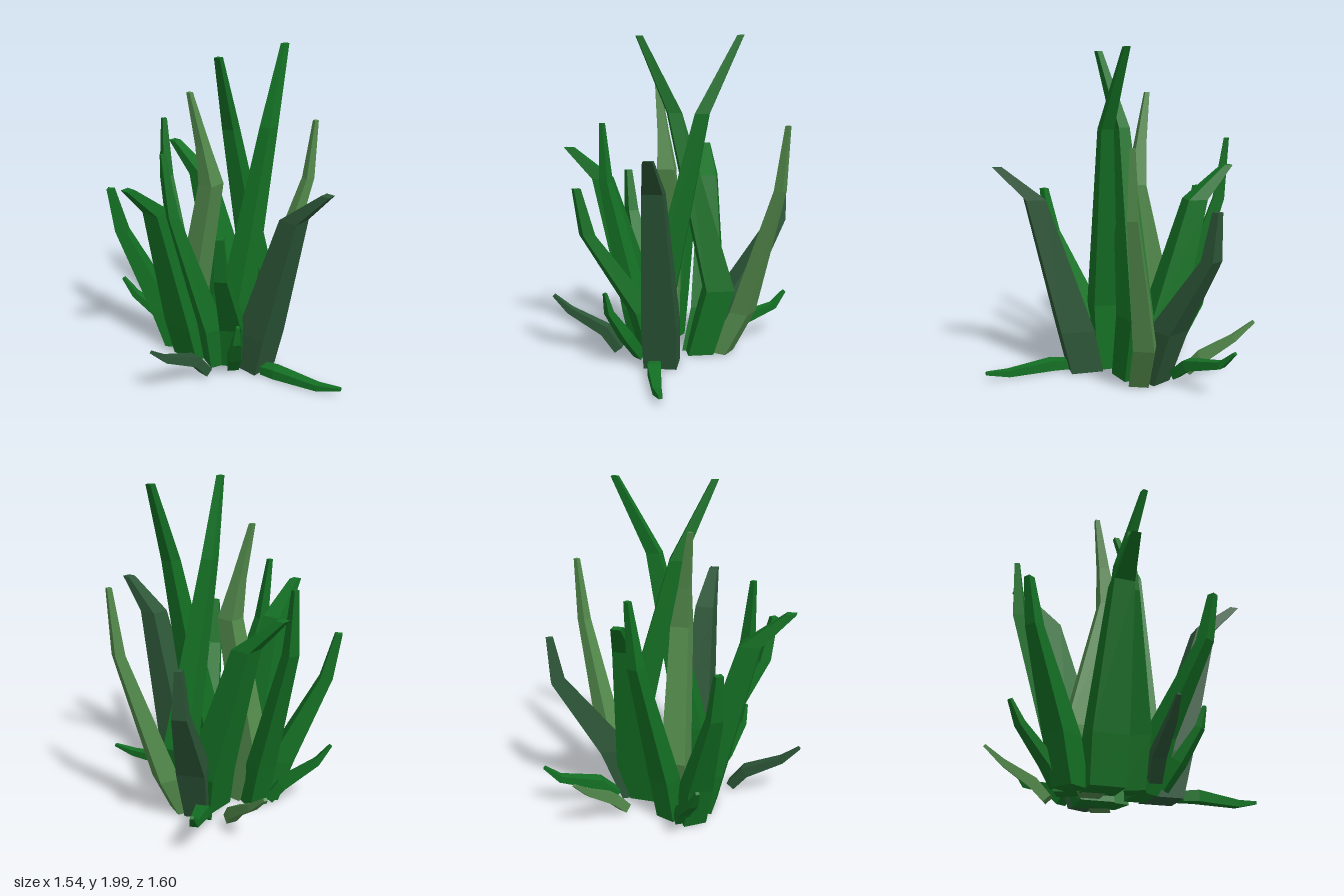
import * as THREE from 'three';

const material = (color) => new THREE.MeshStandardMaterial({ color, flatShading: true });

// A four-sided leaf swept through sections [x, y, z, thickness].
// Upright leaves keep level sections; low leaves turn theirs to follow the bend.
function makeLeaf(name, mat, sections, { ratio = 1, low = false, facing = null } = {}) {
  const n = sections.length;
  const pts = sections.map(([x, y, z]) => new THREE.Vector3(x, y, z));
  const up = new THREE.Vector3(0, 1, 0);
  const heading = facing ?? pts[n - 1].clone().sub(pts[0]).setY(0).normalize();
  const side = new THREE.Vector3().crossVectors(up, heading);
  const geo = new THREE.BoxGeometry(1, 1, 1, 1, n - 1, 1);
  const pos = geo.attributes.position;
  for (let i = 0; i < pos.count; i++) {
    const k = Math.round((pos.getY(i) + 0.5) * (n - 1));
    const w = sections[k][3];
    let across = heading;
    if (low) {
      const tangent = pts[Math.min(k + 1, n - 1)].clone().sub(pts[Math.max(k - 1, 0)]).normalize();
      across = new THREE.Vector3().crossVectors(side, tangent);
    }
    const p = pts[k].clone()
      .addScaledVector(side, pos.getX(i) * w)
      .addScaledVector(across, pos.getZ(i) * w * ratio);
    pos.setXYZ(i, p.x, Math.max(p.y, 0), p.z);
  }
  geo.computeVertexNormals();
  const mesh = new THREE.Mesh(geo, mat);
  mesh.name = name;
  return mesh;
}

export function createModel() {
  const group = new THREE.Group();
  group.name = 'grassClump';
  const green = material(0x147024);
  const slate = material(0x2c5637);
  const light = material(0x538a4c);
  const add = (...args) => group.add(makeLeaf(...args));

  // Two tallest leaves, crossing in the middle
  add('tallLeafRight', green,
    [[0.17, 0.01, -0.05, 0.14], [0.29, 0.43, -0.045, 0.155], [0.01, 1.54, -0.06, 0.075], [-0.2, 2, 0.01, 0.035]], { ratio: 1.15 });
  add('tallLeafLeft', green,
    [[-0.05, 0.01, 0.03, 0.13], [-0.065, 0.43, 0.035, 0.15], [0.18, 1.54, 0.1, 0.075], [0.405, 2, 0.06, 0.035]], { ratio: 1.15 });
  add('tallLeafBack', light,
    [[-0.03, 0.01, -0.25, 0.13], [-0.035, 0.38, -0.345, 0.15], [-0.04, 1.18, -0.178, 0.11], [-0.065, 1.42, -0.217, 0.065], [-0.105, 1.75, -0.278, 0.028]],
    { facing: new THREE.Vector3(0.1, 0, -1).normalize() });

  // Three broad leaves of one shape: outward distance, height, thickness, sideways place
  const broadLeaf = (name, mat, shifts, place) => {
    const shape = [[0.16, 0.01, 0.2], [0.22, 0.28, 0.21], [0.46, 1.11, 0.12], [0.68, 1.31, 0.055]];
    add(name, mat, shape.map(([r, y, w], i) => {
      const [x, z] = place(r, shifts[i]);
      return [x, y, z, w];
    }));
  };
  broadLeaf('broadLeafFront', slate, [-0.06, -0.065, -0.095, -0.113], (r, s) => [s, r]);
  broadLeaf('broadLeafRight', green, [-0.235, -0.245, -0.255, -0.268], (r, s) => [-r, s]);
  broadLeaf('broadLeafBack', green, [0.17, 0.23, 0.23, 0.218], (r, s) => [s, -r]);

  // Slender upright leaves
  add('slenderLeafLeft', light,
    [[0.31, 0.01, -0.07, 0.12], [0.445, 0.28, -0.045, 0.125], [0.65, 1.08, 0.115, 0.06], [0.687, 1.47, 0.135, 0.028]]);
  add('slenderLeafRight', green,
    [[-0.18, 0.01, -0.05, 0.12], [-0.23, 0.3, -0.045, 0.135], [-0.43, 1.09, -0.165, 0.065], [-0.455, 1.47, -0.2, 0.028]]);
  add('slenderLeafBack', green,
    [[-0.01, 0.01, -0.385, 0.125], [0.015, 0.3, -0.45, 0.13], [0.12, 1.09, -0.68, 0.07], [0.15, 1.47, -0.71, 0.03]]);

  // Medium leaves that spread outward and straighten at the tip
  add('mediumLeafLeft', slate,
    [[0.29, 0.01, -0.17, 0.14], [0.4, 0.36, -0.215, 0.17], [0.685, 0.83, -0.34, 0.085], [0.717, 1.11, -0.355, 0.042]]);
  add('mediumLeafRight', green,
    [[-0.11, 0.01, 0.04, 0.13], [-0.19, 0.33, 0.09, 0.14], [-0.5, 0.83, 0.24, 0.075], [-0.555, 1.11, 0.275, 0.042]]);
  add('mediumLeafBack', green,
    [[-0.14, 0.01, -0.41, 0.14], [-0.18, 0.28, -0.48, 0.15], [-0.31, 0.83, -0.7, 0.075], [-0.335, 1.11, -0.755, 0.042]]);

  // Small low leaves around the rim
  const small = (name, mat, points) => {
    const widths = [0.07, 0.08, 0.05, 0.022];
    add(name, mat, points.map((p, i) => [...p, widths[i]]), { low: true, ratio: 0.82 });
  };
  small('lowLeafBackLeft', light, [[0.28, 0.04, -0.4], [0.34, 0.14, -0.47], [0.43, 0.27, -0.64], [0.475, 0.375, -0.75]]);
  small('lowLeafLeft', green, [[0.36, 0.06, -0.28], [0.46, 0.15, -0.32], [0.68, 0.215, -0.42], [0.76, 0.305, -0.465]]);
  small('lowLeafRight', slate, [[-0.34, 0.04, -0.01], [-0.43, 0.16, -0.03], [-0.66, 0.28, -0.06], [-0.765, 0.375, -0.07]]);
  small('lowLeafFront', green, [[-0.1, 0.035, 0.26], [-0.1, 0.045, 0.36], [-0.07, 0.035, 0.65], [-0.045, 0.06, 0.795]]);
  small('lowLeafBack', green, [[-0.08, 0.03, -0.46], [-0.11, 0.14, -0.53], [-0.2, 0.31, -0.72], [-0.235, 0.425, -0.79]]);
  small('lowLeafFrontRight', green, [[-0.2, 0.04, 0.1], [-0.28, 0.18, 0.17], [-0.375, 0.36, 0.255], [-0.395, 0.485, 0.28]]);

  return group;
}
